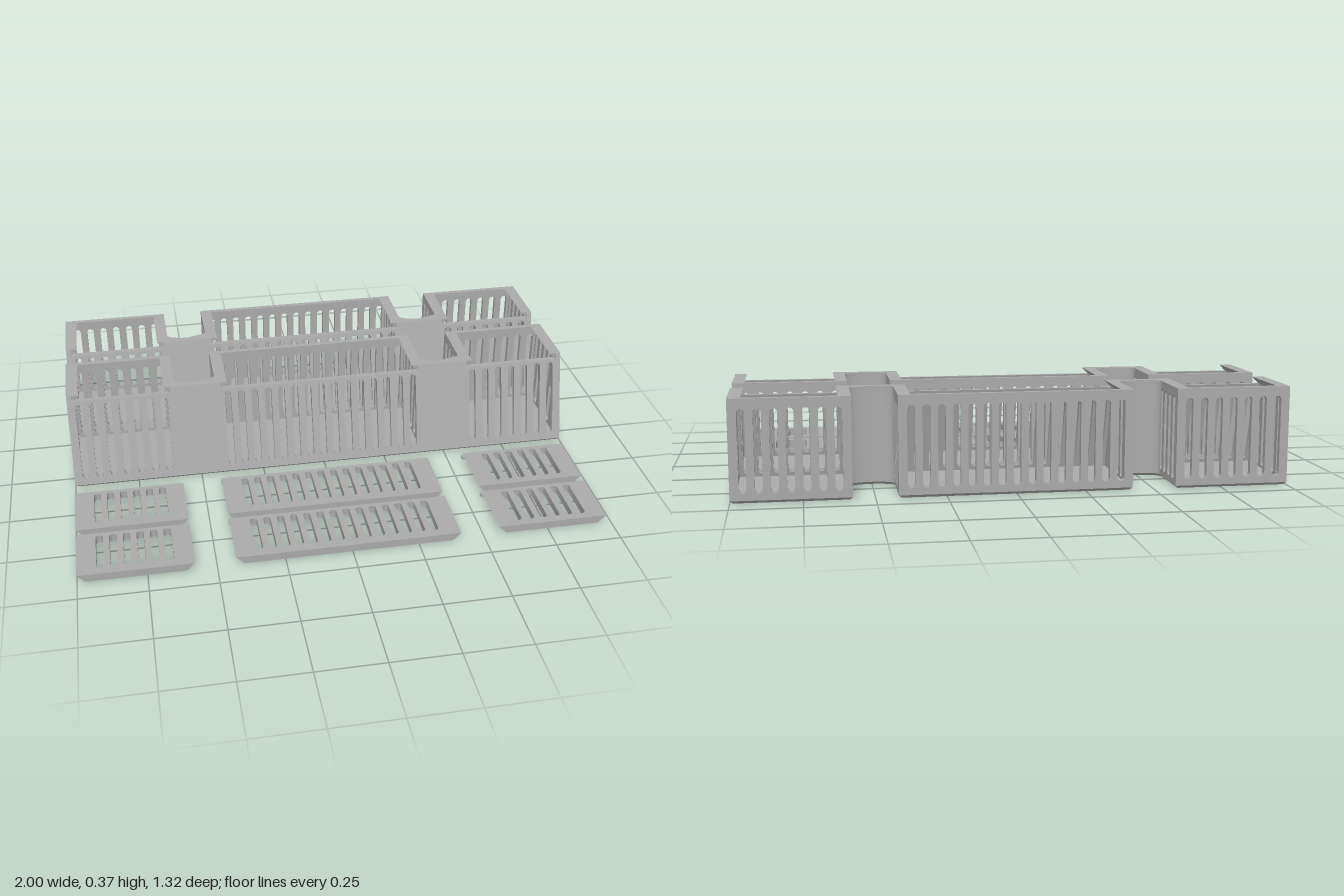
import * as THREE from 'three';
import { toCreasedNormals } from 'three/addons/utils/BufferGeometryUtils.js';

const H = 0.365, BACK = -0.29, FRONT = 0.07, WALL = 0.02, BASE = 0.01;
const SLOPE = 0.1 / H;          // how far the front leans back per unit of height
const RIM = 0.34;               // height of the front wall under the lid track
const BAYS = [[-1, -0.58, 7], [-0.42, 0.42, 15], [0.58, 1, 7]];
const frontZ = y => FRONT - y * SLOPE;

export function createModel() {
  const grey = new THREE.MeshStandardMaterial({ color: 0xaaaaaa });
  grey.name = 'grey plastic';
  const model = new THREE.Group();
  model.name = 'slottedCaddies';

  const add = (parent, name, geo) => {
    const mesh = new THREE.Mesh(geo, grey);
    mesh.name = name;
    parent.add(mesh);
    return mesh;
  };

  const polygon = pts => new THREE.Shape(pts.map(p => new THREE.Vector2(...p)));
  const rect = (x0, y0, x1, y1) => polygon([[x0, y0], [x1, y0], [x1, y1], [x0, y1]]);

  // Upright slot with round ends
  const slot = (x, y0, y1, r = 0.0135) => {
    const p = new THREE.Path();
    p.absarc(x, y1 - r, r, 0, Math.PI, false);
    p.absarc(x, y0 + r, r, Math.PI, Math.PI * 2, false);
    p.closePath();
    return p;
  };

  const extrude = (shape, depth, extra = {}) =>
    new THREE.ExtrudeGeometry(shape, { depth, bevelEnabled: false, curveSegments: 6, ...extra });

  const reshape = (geo, rule) => {
    const p = geo.attributes.position, v = new THREE.Vector3();
    for (let i = 0; i < p.count; i++) {
      rule(v.fromBufferAttribute(p, i));
      p.setXYZ(i, v.x, v.y, v.z);
    }
    geo.computeVertexNormals();
    return toCreasedNormals(geo, 0.6);
  };

  // Points around the open end of a notch, in plan (x, -z)
  const notchArc = cx => Array.from({ length: 17 }, (_, i) => {
    const a = Math.PI * (1 - i / 16);
    return [cx - 0.08 * Math.cos(a), 0.09 - 0.035 * Math.sin(a)];
  });

  function addCaddy(name, z) {
    const caddy = new THREE.Group();
    caddy.name = name;
    caddy.position.z = z;
    model.add(caddy);

    // Floor with both notches and a chamfered lower edge
    const f = -frontZ(BASE);
    const plan = polygon([
      [-1, f], [1, f], [1, -BACK], [0.58, -BACK], ...notchArc(0.5), [0.42, -BACK],
      [-0.42, -BACK], ...notchArc(-0.5), [-0.58, -BACK], [-1, -BACK],
    ]);
    const floor = extrude(plan, 0.002, {
      bevelEnabled: true, bevelSize: 0.01, bevelOffset: -0.01, bevelThickness: 0.01, bevelSegments: 1,
    });
    floor.translate(0, 0, 0.01).rotateX(-Math.PI / 2);
    add(caddy, 'floor', floor);

    // Solid bridges joining the bays, with a sloped front and a curved back
    for (const cx of [-0.5, 0.5]) {
      const shape = polygon([[cx - 0.08, -FRONT], [cx + 0.08, -FRONT], ...notchArc(cx)]);
      const geo = extrude(shape, H - BASE).rotateX(-Math.PI / 2).translate(0, BASE, 0);
      add(caddy, 'bridge', reshape(geo, v => { if (v.z > FRONT - 0.001) v.z = frontZ(v.y); }));
    }

    for (const [x0, x1, count] of BAYS) {
      const bay = new THREE.Group();
      bay.name = 'bay';
      caddy.add(bay);
      const a = x0 + WALL, b = x1 - WALL;
      const slots = Array.from({ length: count }, (_, i) =>
        slot(a + 0.025 + (b - a - 0.05) * i / (count - 1), 0.035, 0.33));

      // Sloped front wall, left low so the lid can slide in
      const front = rect(a, BASE, b, RIM);
      front.holes.push(...slots);
      add(bay, 'frontWall', reshape(extrude(front, WALL),
        v => { v.z += frontZ(v.y) - WALL; }));

      // Back wall
      const back = rect(a, BASE, b, H);
      back.holes.push(...slots);
      add(bay, 'backWall', extrude(back, WALL).translate(0, 0, BACK));

      // Side walls with four tall slots and one short one
      const side = polygon([[BACK, BASE], [frontZ(BASE), BASE], [frontZ(H), H], [BACK, H]]);
      for (let i = 0; i < 5; i++) side.holes.push(slot(-0.045 - i * 0.0505, 0.03, i ? 0.335 : 0.2));
      for (const x of [a, x1]) {
        add(bay, 'sideWall', extrude(side, WALL).rotateY(-Math.PI / 2).translate(x, 0, 0));
      }

      // Dovetail rails that hold the lid
      for (const [x, s] of [[a, 1], [b, -1]]) {
        const pts = [[x, RIM], [x + s * 0.025, H], [x, H]];
        const rail = extrude(polygon(pts), frontZ(H) - BACK - WALL);
        add(bay, 'lidRail', rail.translate(0, 0, BACK + WALL));
      }
    }
  }

  addCaddy('frontCaddy', 0);
  addCaddy('backCaddy', -0.375);

  // Slotted lid lying flat: flared sides and a thin tongue along the back
  function addLid(cx, width, z0, depth, count, span) {
    const lid = new THREE.Group();
    lid.name = 'lid';
    lid.position.set(cx, 0, z0);
    model.add(lid);
    const w = width / 2;
    const shape = rect(-w, -depth, w, -0.02);
    for (let i = 0; i < count; i++) {
      shape.holes.push(slot(-span / 2 + span * i / (count - 1), -0.225, -0.035));
    }
    const plate = extrude(shape, 0.03).rotateX(-Math.PI / 2);
    add(lid, 'lidPlate', reshape(plate, v => {
      if (v.y < 0.001 && Math.abs(v.x) > w - 0.001) v.x -= Math.sign(v.x) * 0.03;
    }));
    add(lid, 'lidTongue', new THREE.BoxGeometry(width, 0.008, 0.02).translate(0, 0.004, 0.01));
  }

  for (const row of [0, 0.27]) {
    addLid(-0.79, 0.42, 0.13 + row, 0.26, 6, 0.25);
    addLid(-0.01, 0.84, 0.125 + row, 0.26, 14, 0.66);
    addLid(0.77, 0.42, 0.12 + row, 0.255, 6, 0.25);
  }
  return model;
}
